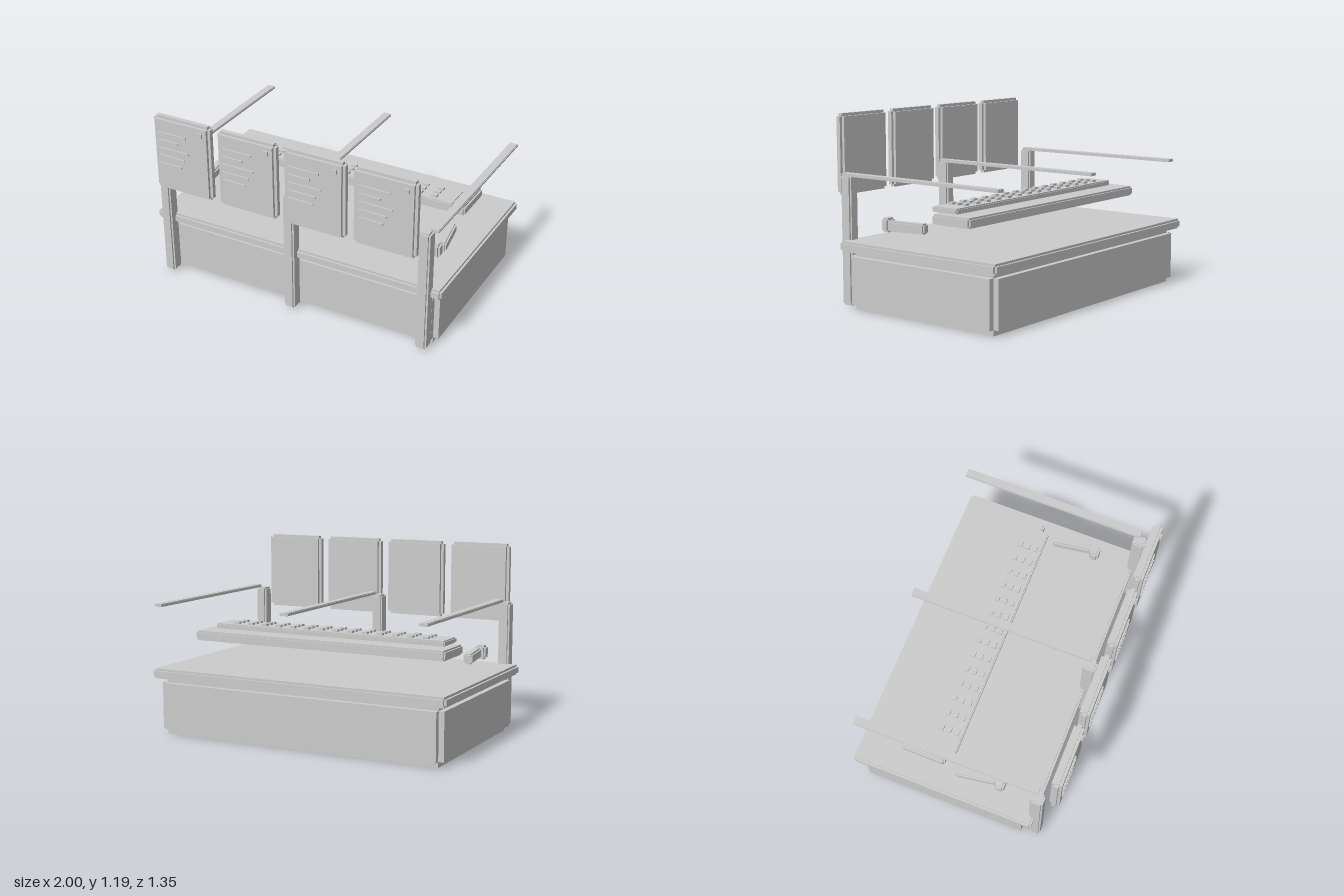
import * as THREE from 'three';
import { mergeGeometries } from 'three/addons/utils/BufferGeometryUtils.js';

const material = new THREE.MeshStandardMaterial({ color: 0xcccccc, flatShading: true });

// Box with rebated edges: three crossing boxes, each reaching full size along one axis
function steppedBox(w, h, d, b) {
  return mergeGeometries([
    new THREE.BoxGeometry(w, h - 2 * b, d - 2 * b),
    new THREE.BoxGeometry(w - 2 * b, h, d - 2 * b),
    new THREE.BoxGeometry(w - 2 * b, h - 2 * b, d),
  ]);
}

function add(parent, name, geometry, x, y, z) {
  const mesh = new THREE.Mesh(geometry, material);
  mesh.name = name;
  mesh.position.set(x, y, z);
  parent.add(mesh);
  return mesh;
}

// Stepped box given by its extents on each axis
function block(parent, name, [x0, x1], [y0, y1], [z0, z1], b) {
  return add(parent, name, steppedBox(x1 - x0, y1 - y0, z1 - z0, b),
    (x0 + x1) / 2, (y0 + y1) / 2, (z0 + z1) / 2);
}

function createScreen(x) {
  const screen = new THREE.Group();
  screen.name = 'screen';
  screen.position.set(x, 0.94, 0.632);
  add(screen, 'screenPanel', steppedBox(0.403, 0.5, 0.064, 0.018), 0, 0, 0);
  // Raised bars, left aligned, and a small square indicator
  [0.2, 0.14, 0.215, 0.18, 0.16].forEach((length, i) => {
    add(screen, 'screenBar', new THREE.BoxGeometry(length, 0.012, 0.01),
      -0.162 + length / 2, 0.145 - i * 0.0525, 0.036);
  });
  add(screen, 'indicator', new THREE.BoxGeometry(0.032, 0.029, 0.011), 0.14, 0.192, 0.0365);
  return screen;
}

function createHandset(side) {
  const handset = new THREE.Group();
  handset.name = side > 0 ? 'leftHandset' : 'rightHandset';
  const arm = add(handset, 'handsetArm', steppedBox(0.056, 0.063, 0.258, 0.01), side * 0.844, 0.537, 0.112);
  arm.rotation.y = 0.155;
  add(handset, 'handsetHead', steppedBox(0.072, 0.087, 0.062, 0.013), side * 0.842, 0.5385, 0.27);
  return handset;
}

export function createModel() {
  const model = new THREE.Group();
  model.name = 'controlDesk';

  // Cabinet and worktop
  block(model, 'cabinet', [-0.967, 0.967], [0.005, 0.372], [-0.641, 0.494], 0.035);
  block(model, 'worktop', [-1, 1], [0.366, 0.43], [-0.672, 0.533], 0.014);

  // Front posts with long rails running back from their tops
  for (const x of [-0.902, -0.001, 0.9]) {
    block(model, 'post', [x - 0.036, x + 0.036], [0.02, 0.825], [0.494, 0.577], 0.011);
    block(model, 'rail', [x + 0.016, x + 0.072], [0.824, 0.843], [-0.672, 0.53], 0.004);
  }

  // Row of four screens
  for (let i = 0; i < 4; i++) model.add(createScreen((i - 1.5) * 0.4575));

  // Shelf and key panel
  block(model, 'shelf', [-0.866, 0.866], [0.578, 0.64], [-0.377, -0.092], 0.011);
  block(model, 'keyPanel', [-0.803, 0.803], [0.64, 0.674], [-0.232, -0.042], 0.007);

  // Keys in three rows
  const keyGeometry = new THREE.BoxGeometry(0.037, 0.014, 0.028);
  const keys = new THREE.Group();
  keys.name = 'keys';
  for (let row = 0; row < 3; row++) {
    for (let col = 0; col < 14; col++) {
      add(keys, 'key', keyGeometry, (col - 6.5) * 0.1024, 0.68, -0.085 - row * 0.05);
    }
  }
  model.add(keys);

  // Angled handsets at both ends
  model.add(createHandset(1), createHandset(-1));
  return model;
}
